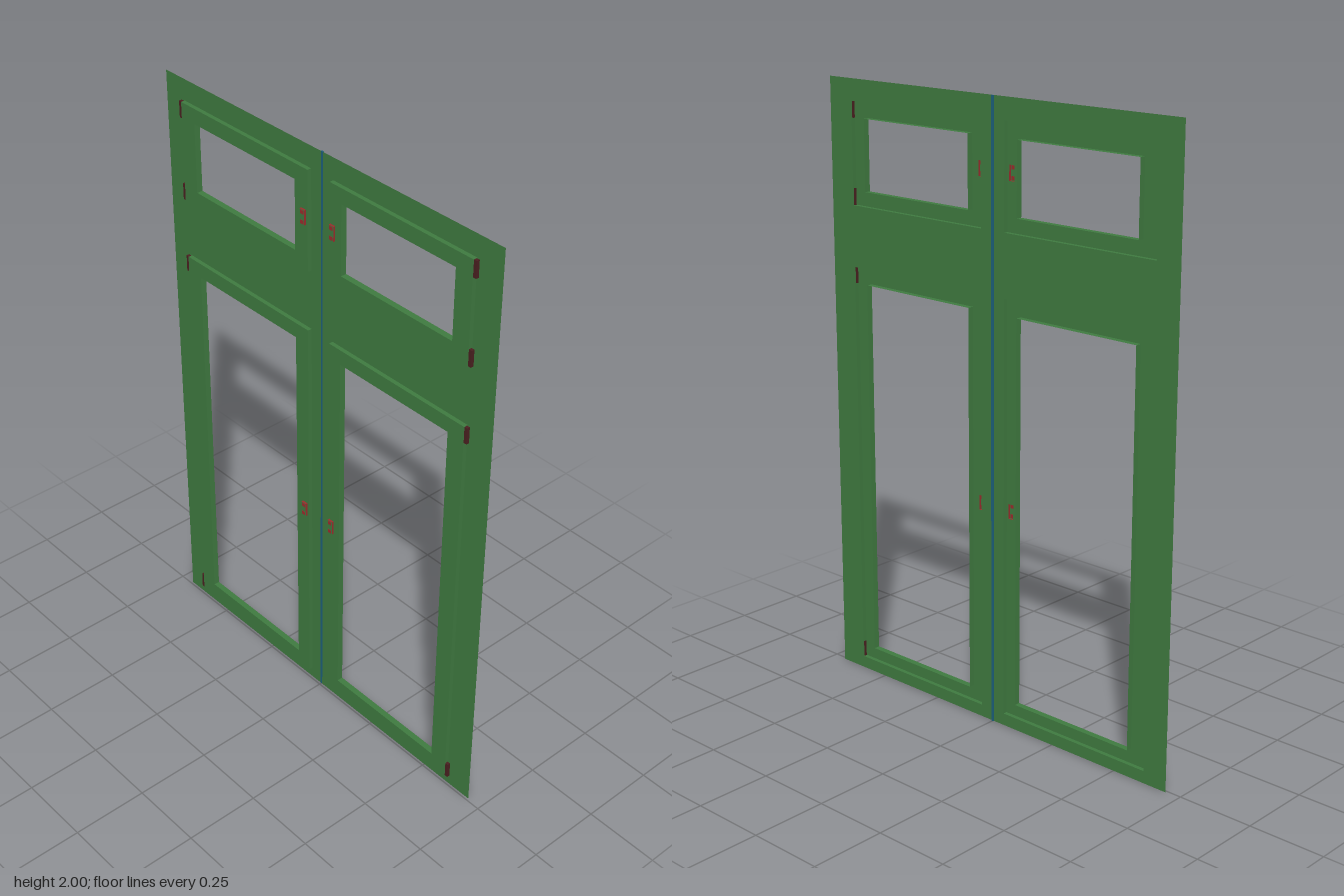
import * as THREE from 'three';

const GREEN = 0x3f7a40, RED = 0x9a2c2c, DARK_RED = 0x4a2020, BLUE = 0x1c607c;
const Z_FRAME = -0.008, Z_SASH = 0.006, Z_LIP = -0.014, Z_HANDLE = 0.013;

const material = (color) => new THREE.MeshStandardMaterial({ color, side: THREE.DoubleSide });
const green = material(GREEN), red = material(RED), darkRed = material(DARK_RED), blue = material(BLUE);

function add(parent, name, geometry, mat, x = 0, y = 0, z = 0) {
  const mesh = new THREE.Mesh(geometry, mat);
  mesh.name = name;
  mesh.position.set(x, y, z);
  parent.add(mesh);
  return mesh;
}

// Rectangles are [x0, y0, x1, y1]
function outline(target, [x0, y0, x1, y1]) {
  target.moveTo(x0, y0);
  target.lineTo(x1, y0);
  target.lineTo(x1, y1);
  target.lineTo(x0, y1);
  target.closePath();
  return target;
}

// Flat sheet with rectangular holes
function sheet(rect, holes) {
  const shape = outline(new THREE.Shape(), rect);
  for (const hole of holes) shape.holes.push(outline(new THREE.Path(), hole));
  return new THREE.ShapeGeometry(shape);
}

// Four side walls of a box, open at front and back
function walls([x0, y0, x1, y1], z0, z1) {
  const box = new THREE.BoxGeometry(x1 - x0, y1 - y0, z1 - z0);
  box.setIndex(Array.from(box.index.array.slice(0, 24)));
  box.clearGroups();
  return box.translate((x0 + x1) / 2, (y0 + y1) / 2, (z0 + z1) / 2);
}

// One raised sash: outer walls, face, window reveal, pull handle and hinges
function buildSash(name, rect, opening, side, handleY) {
  const sash = new THREE.Group();
  sash.name = name;
  const hx = side * 0.062;
  const grip = [hx - 0.01, handleY - 0.024, hx + 0.01, handleY + 0.024];

  add(sash, 'sashFace', sheet(rect, [opening, grip]), green, 0, 0, Z_SASH);
  add(sash, 'sashEdge', walls(rect, Z_FRAME, Z_SASH), green);
  add(sash, 'windowReveal', walls(opening, Z_LIP, Z_SASH), green);

  // Hollow pull handle
  add(sash, 'handleEdge', walls(grip, Z_SASH, Z_HANDLE), red);
  add(sash, 'handleFace', sheet(grip, []), green, 0, 0, Z_HANDLE);
  for (const dy of [-0.016, 0.016])
    add(sash, 'handleStud', new THREE.BoxGeometry(0.014, 0.012, 0.002), red, hx, handleY + dy, Z_HANDLE);

  // Hinges at the top and bottom of the outer edge
  const outerX = side > 0 ? rect[2] : rect[0];
  for (const y of [rect[1] + 0.027, rect[3] - 0.027])
    add(sash, 'hinge', new THREE.BoxGeometry(0.012, 0.054, 0.01), darkRed, outerX + side * 0.005, y, 0);
  return sash;
}

export function createModel() {
  const model = new THREE.Group();
  model.name = 'doubleWindow';

  const rows = [
    { name: 'lower', y: [0.04, 1.4], opening: [0.09, 1.35], handleY: 0.725 },
    { name: 'upper', y: [1.6, 1.93], opening: [1.65, 1.88], handleY: 1.777 },
  ];
  const halves = [
    { name: 'Right', side: -1, frame: [-0.7, -0.004], x: [-0.615, -0.045], opening: [-0.555, -0.1] },
    { name: 'Left', side: 1, frame: [0.004, 0.7], x: [0.048, 0.605], opening: [0.097, 0.543] },
  ];

  for (const h of halves) {
    const rects = rows.map((r) => [h.x[0], r.y[0], h.x[1], r.y[1]]);
    add(model, 'frame' + h.name, sheet([h.frame[0], 0, h.frame[1], 2], rects), green, 0, 0, Z_FRAME);
    rows.forEach((r, i) => {
      const opening = [h.opening[0], r.opening[0], h.opening[1], r.opening[1]];
      model.add(buildSash(r.name + 'Sash' + h.name, rects[i], opening, h.side, r.handleY));
    });
  }

  // Slim strip covering the joint between the two halves
  add(model, 'centreStrip', new THREE.BoxGeometry(0.008, 2, 0.004), blue, 0, 1, -0.01);
  return model;
}
